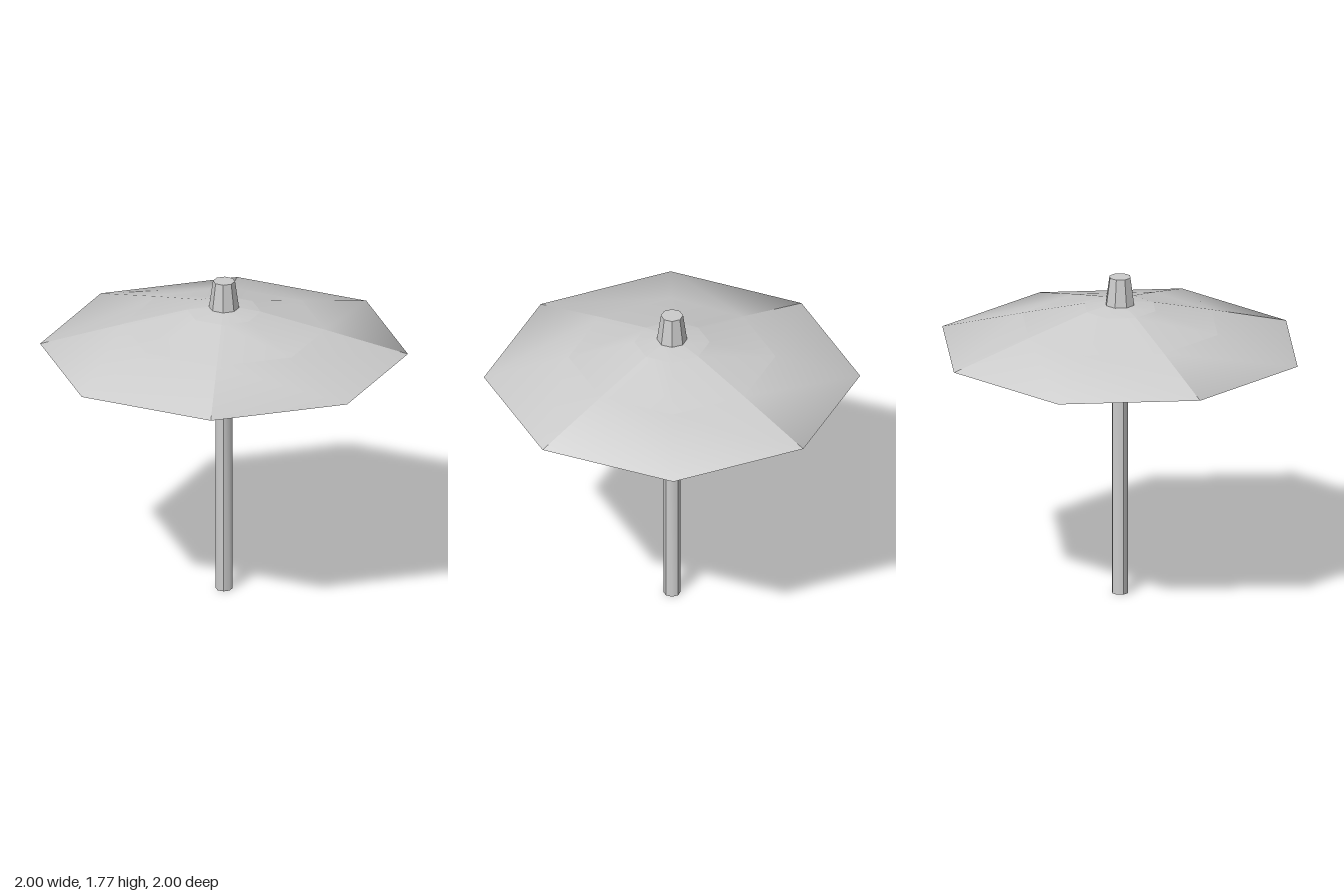
import * as THREE from 'three';

export function createModel() {
  const model = new THREE.Group();
  const smooth = new THREE.MeshStandardMaterial({ color: 0xcccccc });
  const flat = new THREE.MeshStandardMaterial({ color: 0xcccccc, flatShading: true });

  // Octagonal shell made of four two-sided gores, creased along the diagonals
  function gores(name, profile, material, diagonal = 1) {
    const part = new THREE.Group();
    part.name = name;
    const points = profile.map(([r, y]) => new THREE.Vector2(r, y));
    const geometry = new THREE.LatheGeometry(points, 2, -Math.PI / 4, Math.PI / 2);
    const pos = geometry.attributes.position;
    const n = points.length;
    for (let i = 0; i < pos.count; i++) {
      const s = Math.floor(i / n) === 1 ? 1 : diagonal;
      pos.setXYZ(i, pos.getX(i) * s, pos.getY(i), pos.getZ(i) * s);
    }
    geometry.computeVertexNormals();
    for (let k = 0; k < 4; k++) {
      const gore = new THREE.Mesh(geometry, material);
      gore.name = name + 'Gore';
      gore.rotation.y = k * Math.PI / 2;
      part.add(gore);
    }
    model.add(part);
  }

  // Pole with its foot
  gores('pole', [[0.045, 0], [0.045, 1.445]], smooth);
  gores('poleFoot', [[0, 0], [0.045, 0]], flat);

  // Canopy: crown rings, then the skirt rounding over the rim into the hem
  gores('canopyCrown', [[0.2, 1.602], [0.08, 1.622], [0, 1.625]], smooth, 0.98);
  gores('canopyShoulder', [[0.55, 1.508], [0.2, 1.602]], smooth, 0.98);
  gores('canopySkirt', [[0.84, 1.346], [1, 1.381], [0.55, 1.508]], smooth, 0.98);

  // Recessed lining with a flat ceiling
  gores('canopyLining', [[0, 1.44], [0.33, 1.44], [0.81, 1.37], [0.84, 1.346]], flat, 0.98);

  // Tapered cap on top
  gores('finial', [[0.082, 1.61], [0.059, 1.773], [0, 1.773]], flat);

  return model;
}
